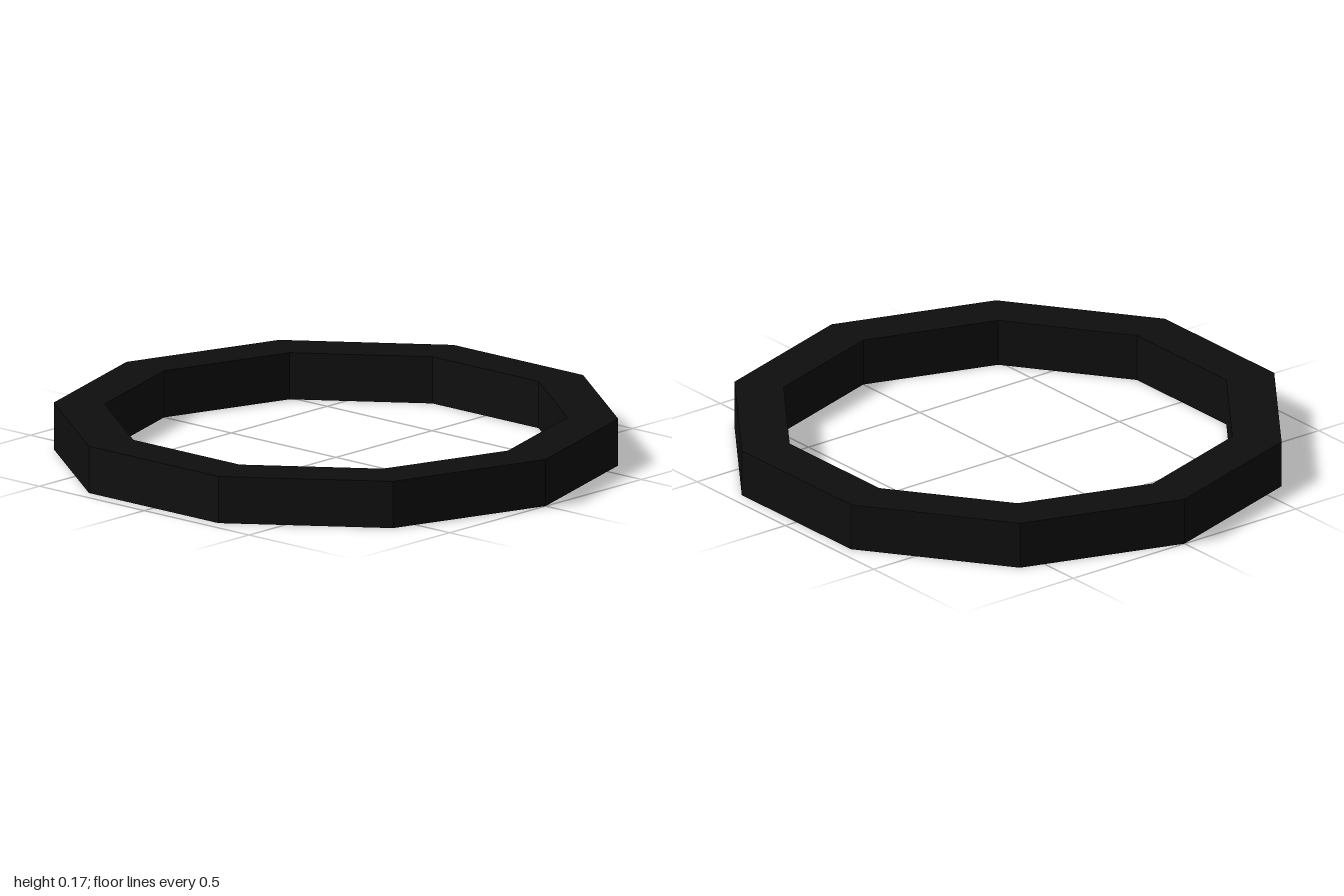
import * as THREE from 'three';

export function createModel() {
  const group = new THREE.Group();
  const outer = 1, inner = 0.82, height = 0.17, sides = 10;

  // Rectangular section, swept around the vertical axis with a corner facing front
  const section = [
    [inner, 0], [outer, 0], [outer, height], [inner, height], [inner, 0],
  ].map(([r, y]) => new THREE.Vector2(r, y));

  const material = new THREE.MeshStandardMaterial({ color: 0x0e0e0e, flatShading: true });
  const ring = new THREE.Mesh(new THREE.LatheGeometry(section, sides), material);
  ring.name = 'decagonRing';
  group.add(ring);

  return group;
}
